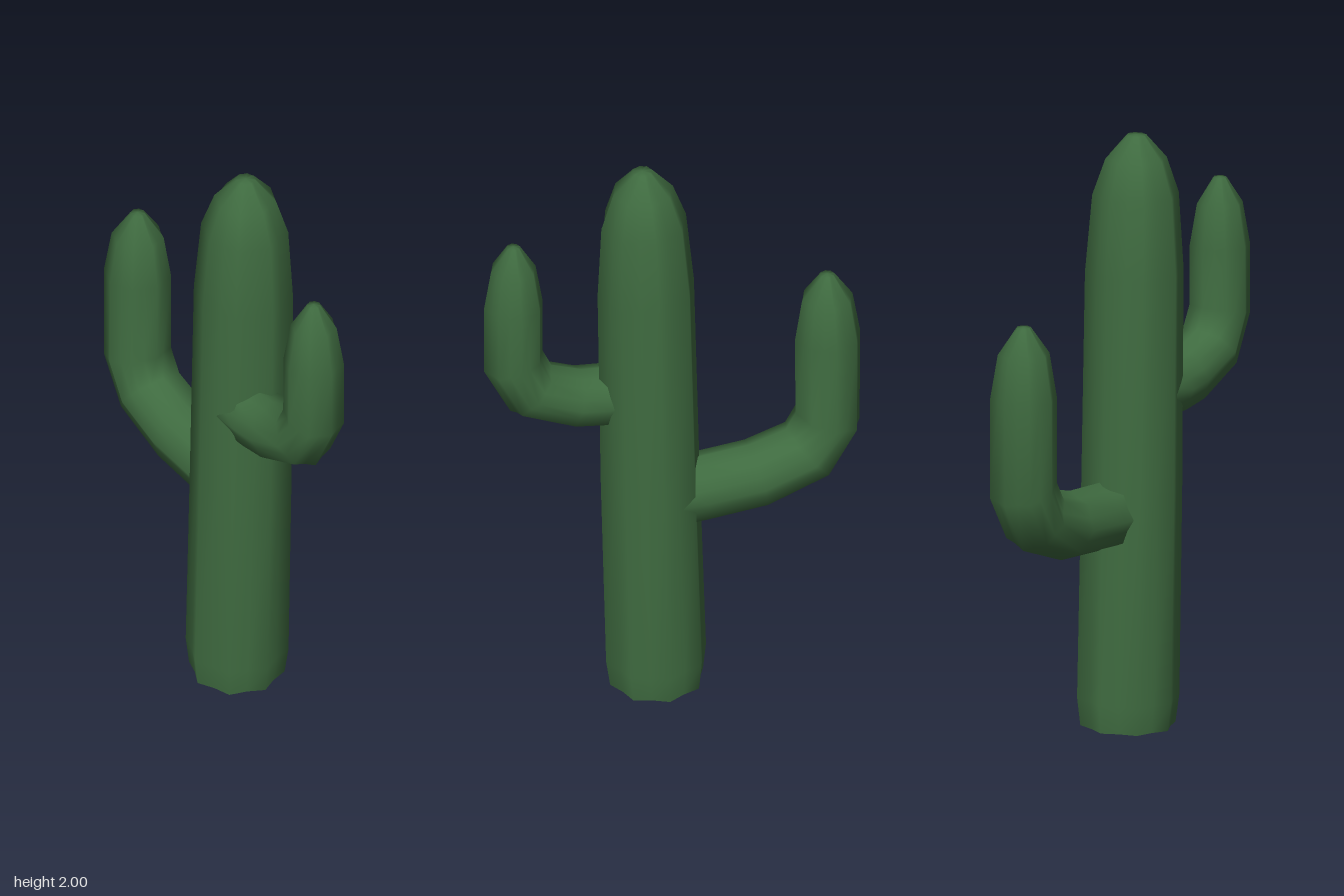
import * as THREE from 'three';

const RIBS = 8;

// Sweeps a ribbed star section along rings of [x, y, radius] lying in a plane of constant z.
function ribbedStem(name, rings, z, material) {
  const sides = RIBS * 2;
  const positions = [];
  const index = [];
  const point = (i) => new THREE.Vector2(rings[i][0], rings[i][1]);

  const addRing = (i) => {
    const [x, y, r] = rings[i];
    const t = new THREE.Vector2();
    if (i > 0) t.add(point(i).sub(point(i - 1)).normalize());
    if (i < rings.length - 1) t.add(point(i + 1).sub(point(i)).normalize());
    t.normalize();
    for (let j = 0; j < sides; j++) {
      const a = (j / sides) * Math.PI * 2;
      const rr = j % 2 ? r * 0.89 : r; // valley between two ribs
      const u = Math.cos(a) * rr;
      positions.push(x + t.y * u, y - t.x * u, z + Math.sin(a) * rr);
    }
  };

  // Skin
  rings.forEach((_, i) => addRing(i));
  for (let i = 0; i < rings.length - 1; i++) {
    for (let j = 0; j < sides; j++) {
      const k = (j + 1) % sides;
      const a = i * sides + j, b = i * sides + k;
      const c = a + sides, d = b + sides;
      index.push(a, c, b, b, c, d);
    }
  }

  // Rounded tip shares the last ring; the base has its own ring for a crisp edge
  const last = rings.length - 1;
  const tip = positions.length / 3;
  positions.push(rings[last][0], rings[last][1] + 0.002, z);
  const base = tip + 1;
  addRing(0);
  const baseCentre = base + sides;
  positions.push(rings[0][0], rings[0][1], z);
  for (let j = 0; j < sides; j++) {
    const k = (j + 1) % sides;
    index.push(last * sides + j, tip, last * sides + k);
    index.push(base + j, base + k, baseCentre);
  }

  const geometry = new THREE.BufferGeometry();
  geometry.setAttribute('position', new THREE.Float32BufferAttribute(positions, 3));
  geometry.setIndex(index);
  geometry.computeVertexNormals();
  const mesh = new THREE.Mesh(geometry, material);
  mesh.name = name;
  return mesh;
}

export function createModel() {
  const green = new THREE.MeshStandardMaterial({ color: 0x3f6b40 });
  green.name = 'cactus green';

  const group = new THREE.Group();
  group.name = 'cactus';

  // Slightly leaning trunk
  group.add(ribbedStem('trunk', [
    [0.053, 0.006, 0.158], [0.055, 0.1, 0.17], [0.075, 0.8, 0.168], [0.09, 1.54, 0.164],
    [0.097, 1.8, 0.144], [0.1, 1.92, 0.102], [0.102, 1.998, 0.033],
  ], 0, green));

  // Upper arm
  group.add(ribbedStem('leftArm', [
    [0.12, 1.12, 0.103], [0.23, 1.123, 0.104], [0.32, 1.133, 0.103], [0.47, 1.193, 0.104],
    [0.53, 1.31, 0.102], [0.53, 1.53, 0.1], [0.53, 1.67, 0.076], [0.53, 1.757, 0.022],
  ], 0.037, green));

  // Lower arm
  group.add(ribbedStem('rightArm', [
    [0, 0.735, 0.115], [-0.09, 0.74, 0.115], [-0.28, 0.757, 0.115], [-0.453, 0.818, 0.114],
    [-0.523, 0.935, 0.113], [-0.523, 1.25, 0.111], [-0.522, 1.4, 0.086], [-0.522, 1.49, 0.024],
  ], -0.019, green));

  return group;
}
